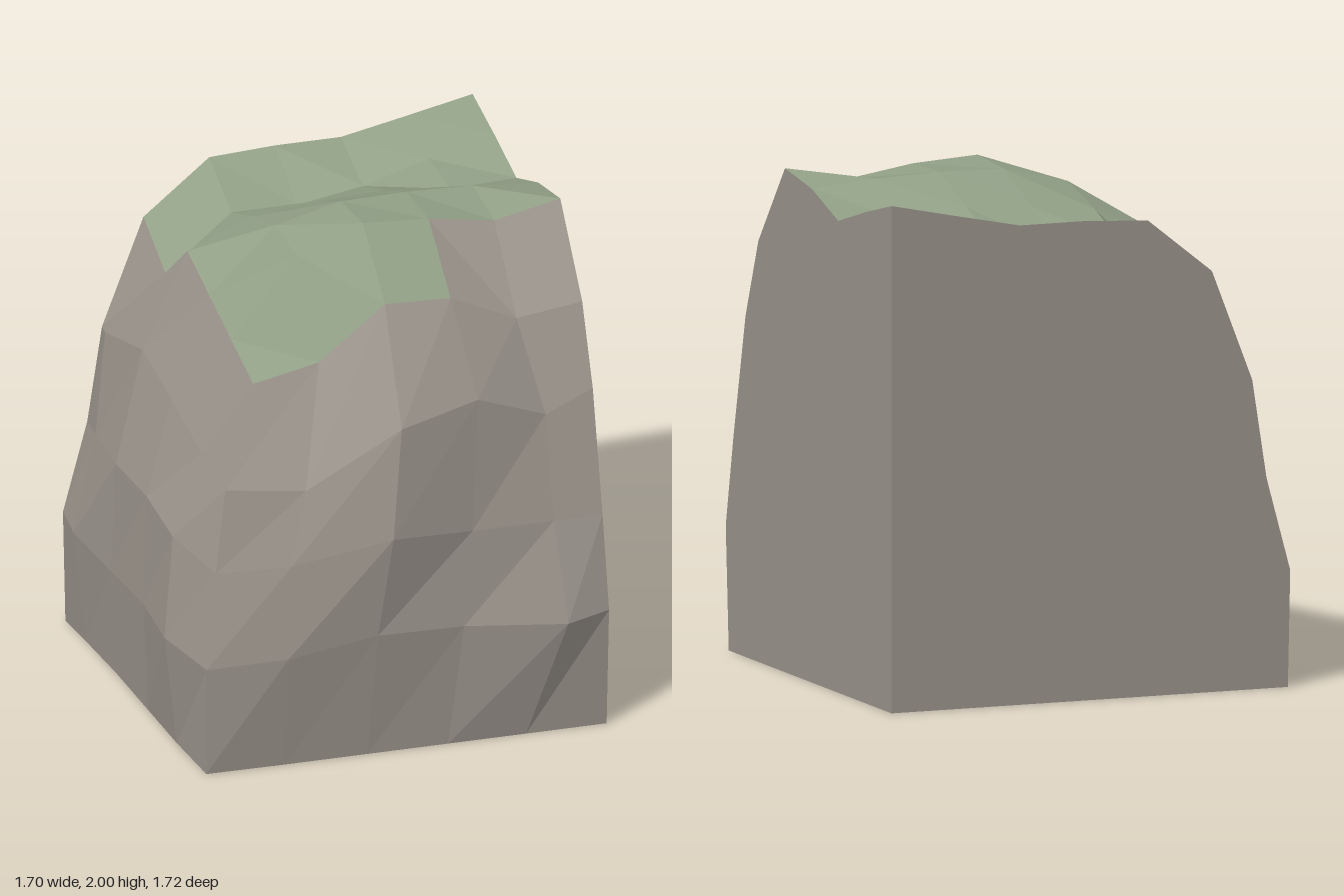
import * as THREE from 'three';

const STEP = 0.27;
const X0 = -0.5, XR = 0.85, ZB = -0.86;

// Heights of the hilltop on a 6 x 6 grid, rows run from back to front
const HEIGHTS = [
  [1.66, 1.876, 1.89, 1.89, 1.944, 2.0],
  [1.53, 1.75, 1.745, 1.79, 1.87, 1.935],
  [1.73, 1.84, 1.87, 1.88, 1.85, 1.86],
  [1.65, 1.91, 1.975, 1.98, 1.97, 1.947],
  [1.57, 1.89, 1.99, 1.973, 1.93, 1.987],
  [1.49, 1.545, 1.755, 1.745, 1.625, 1.66],
];

// Cliff rings below the rim, [x, y, z] from back left, round the corner, to front right
const LEFT = [
  [[-0.67, 1.22, -0.86], [-0.7, 1.25, -0.73], [-0.67, 1.32, -0.36], [-0.67, 1.25, 0], [-0.66, 1.16, 0.34]],
  [[-0.73, 0.83, -0.86], [-0.76, 0.85, -0.67], [-0.8, 0.88, -0.3], [-0.79, 0.88, 0.05], [-0.8, 0.85, 0.4]],
  [[-0.83, 0.46, -0.86], [-0.85, 0.45, -0.67], [-0.82, 0.43, -0.3], [-0.82, 0.45, 0.1], [-0.85, 0.45, 0.45]],
  [[-0.82, 0, -0.86], [-0.81, 0, -0.63], [-0.8, 0, -0.3], [-0.8, 0, 0.1], [-0.8, 0, 0.45]],
];
const FRONT = [
  [[-0.67, 1.13, 0.66], [-0.36, 1.11, 0.72], [0.02, 1.335, 0.76], [0.36, 1.385, 0.68], [0.65, 1.27, 0.64], [XR, 1.345, 0.62]],
  [[-0.73, 0.81, 0.72], [-0.44, 0.83, 0.79], [-0.04, 0.91, 0.84], [0.31, 0.87, 0.76], [0.65, 0.86, 0.74], [XR, 0.86, 0.74]],
  [[-0.79, 0.44, 0.79], [-0.47, 0.46, 0.835], [-0.1, 0.51, 0.83], [0.26, 0.495, 0.81], [0.67, 0.47, 0.86], [XR, 0.49, 0.82]],
  [[-0.79, 0, 0.785], [-0.47, 0, 0.79], [-0.13, 0, 0.79], [0.2, 0, 0.79], [0.52, 0, 0.79], [XR, 0, 0.79]],
];

const quad = (out, a, b, c, d) => out.push(...a, ...b, ...c, ...a, ...c, ...d);

// Unshared corners give faceted shading
function facetMesh(name, positions, material) {
  const geometry = new THREE.BufferGeometry();
  geometry.setAttribute('position', new THREE.Float32BufferAttribute(positions, 3));
  geometry.computeVertexNormals();
  const mesh = new THREE.Mesh(geometry, material);
  mesh.name = name;
  return mesh;
}

export function createModel() {
  const rock = new THREE.MeshStandardMaterial({ name: 'rock', color: 0x9c958d, side: THREE.DoubleSide });
  const moss = new THREE.MeshStandardMaterial({ name: 'moss', color: 0x92a087, side: THREE.DoubleSide });

  const top = HEIGHTS.map((row, j) => row.map((y, i) => [X0 + i * STEP, y, ZB + j * STEP]));

  // Hilltop: mossy, with bare rock at the right end of the front row
  const mossFaces = [], ledgeFaces = [];
  for (let j = 0; j < 5; j++) {
    for (let i = 0; i < 5; i++) {
      const out = j === 4 && i > 2 ? ledgeFaces : mossFaces;
      quad(out, top[j][i], top[j + 1][i], top[j + 1][i + 1], top[j][i + 1]);
    }
  }

  // Cliff: bands between the rim and the rings down to the ground
  const rim = [...top.slice(0, 5).map((row) => row[0]), ...top[5]];
  const rings = [rim, ...LEFT.map((ring, k) => [...ring, ...FRONT[k]])];
  const cliffFaces = [];
  for (let k = 0; k < 4; k++) {
    for (let i = 0; i < 10; i++) {
      quad(cliffFaces, rings[k + 1][i], rings[k + 1][i + 1], rings[k][i + 1], rings[k][i]);
    }
  }

  // Flat cut walls: fans around the bottom back corner
  const pivot = [XR, 0, ZB];
  const lower = rings.slice(1).reverse();
  const backLine = [...lower.map((ring) => ring[0]), ...top[0]];
  const rightLine = [...lower.map((ring) => ring[10]), ...top.map((row) => row[5]).reverse()];
  const backFaces = [], rightFaces = [];
  for (let n = 0; n < backLine.length - 1; n++) {
    backFaces.push(...pivot, ...backLine[n], ...backLine[n + 1]);
    rightFaces.push(...pivot, ...rightLine[n + 1], ...rightLine[n]);
  }

  const group = new THREE.Group();
  group.name = 'cliffCorner';
  group.add(
    facetMesh('mossyTop', mossFaces, moss),
    facetMesh('rockLedge', ledgeFaces, rock),
    facetMesh('cliffFace', cliffFaces, rock),
    facetMesh('backWall', backFaces, rock),
    facetMesh('sideWall', rightFaces, rock),
  );
  return group;
}
